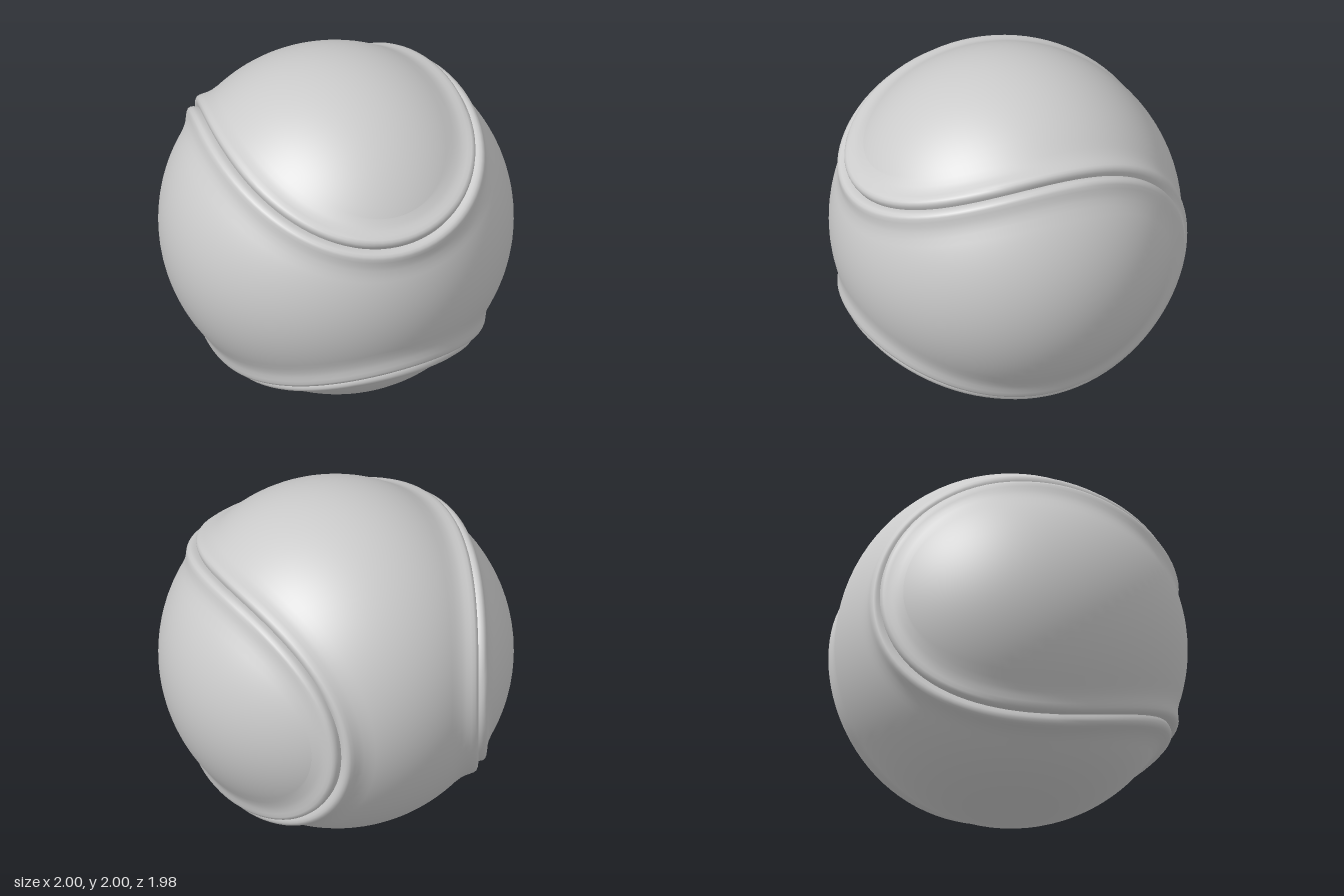
import * as THREE from 'three';

// Closed seam curve on the unit sphere: a pair of interlocking dumbbell panels
const A = 0.715, B = 0.285, C = 2 * Math.sqrt(A * B);
const seam = (t) => new THREE.Vector3(
  A * Math.cos(t) - B * Math.cos(3 * t),
  A * Math.sin(t) + B * Math.sin(3 * t),
  -C * Math.cos(2 * t)
);

// Rounded lip beside the seam: [distance from seam, height]
const LIP = [
  [0, 0.003], [0.006, 0.014], [0.014, 0.027], [0.025, 0.038], [0.04, 0.043],
  [0.055, 0.04], [0.075, 0.029], [0.1, 0.015], [0.13, 0.005], [0.17, 0],
];
const SPOKES = 192, FILL = 10;

// Ball radius, slightly sunken towards the seam
function baseRadius(p) {
  const g = p.x * p.x - p.y * p.y + 0.205 * p.z;
  return 0.985 + 0.015 * Math.min(1, Math.sqrt(Math.abs(g)));
}

function panelGeometry() {
  const positions = [], index = [];
  const last = LIP.length - 1 + FILL;
  const push = (p, height) => {
    const r = baseRadius(p) + height;
    positions.push(p.x * r, p.y * r, p.z * r);
  };

  for (let i = 0; i < SPOKES; i++) {
    const t = (i / SPOKES) * Math.PI * 2;
    const c = seam(t).normalize();
    const tangent = seam(t + 1e-3).sub(seam(t - 1e-3));
    const inward = c.clone().cross(tangent).normalize();
    // Lip rows follow the seam
    let edge;
    for (const [d, h] of LIP) {
      edge = c.clone().multiplyScalar(Math.cos(d)).addScaledVector(inward, Math.sin(d));
      push(edge, h);
    }
    // Fill rows run along meridians to the panel's centre line
    const lat = Math.asin(edge.y), lon = Math.atan2(edge.x, edge.z);
    for (let k = 1; k <= FILL; k++) {
      const a = lat * (1 - k / FILL);
      push(new THREE.Vector3(Math.sin(lon) * Math.cos(a), Math.sin(a), Math.cos(lon) * Math.cos(a)), 0);
    }
  }

  // The two halves share the vertices of the centre line
  const id = (i, j) => {
    i %= SPOKES;
    if (j === last) i = Math.min(i, SPOKES - i);
    return i * (last + 1) + j;
  };
  for (let i = 0; i < SPOKES; i++) {
    for (let j = 0; j < last; j++) {
      index.push(id(i, j), id(i + 1, j), id(i, j + 1));
      index.push(id(i + 1, j), id(i + 1, j + 1), id(i, j + 1));
    }
  }

  const geometry = new THREE.BufferGeometry();
  geometry.setAttribute('position', new THREE.Float32BufferAttribute(positions, 3));
  geometry.setIndex(index);
  geometry.computeVertexNormals();
  return geometry;
}

export function createModel() {
  const ball = new THREE.Group();
  ball.name = 'ball';
  const material = new THREE.MeshStandardMaterial({ color: 0xcccccc });
  const geometry = panelGeometry();

  // Panel across the front and both sides
  const frontPanel = new THREE.Mesh(geometry, material);
  frontPanel.name = 'frontPanel';

  // Identical panel across the top, back and bottom, turned half round a diagonal
  const backPanel = new THREE.Mesh(geometry, material);
  backPanel.name = 'backPanel';
  backPanel.quaternion.setFromAxisAngle(new THREE.Vector3(1, 1, 0).normalize(), Math.PI);

  for (const panel of [frontPanel, backPanel]) {
    panel.position.y = 1;
    ball.add(panel);
  }
  return ball;
}
